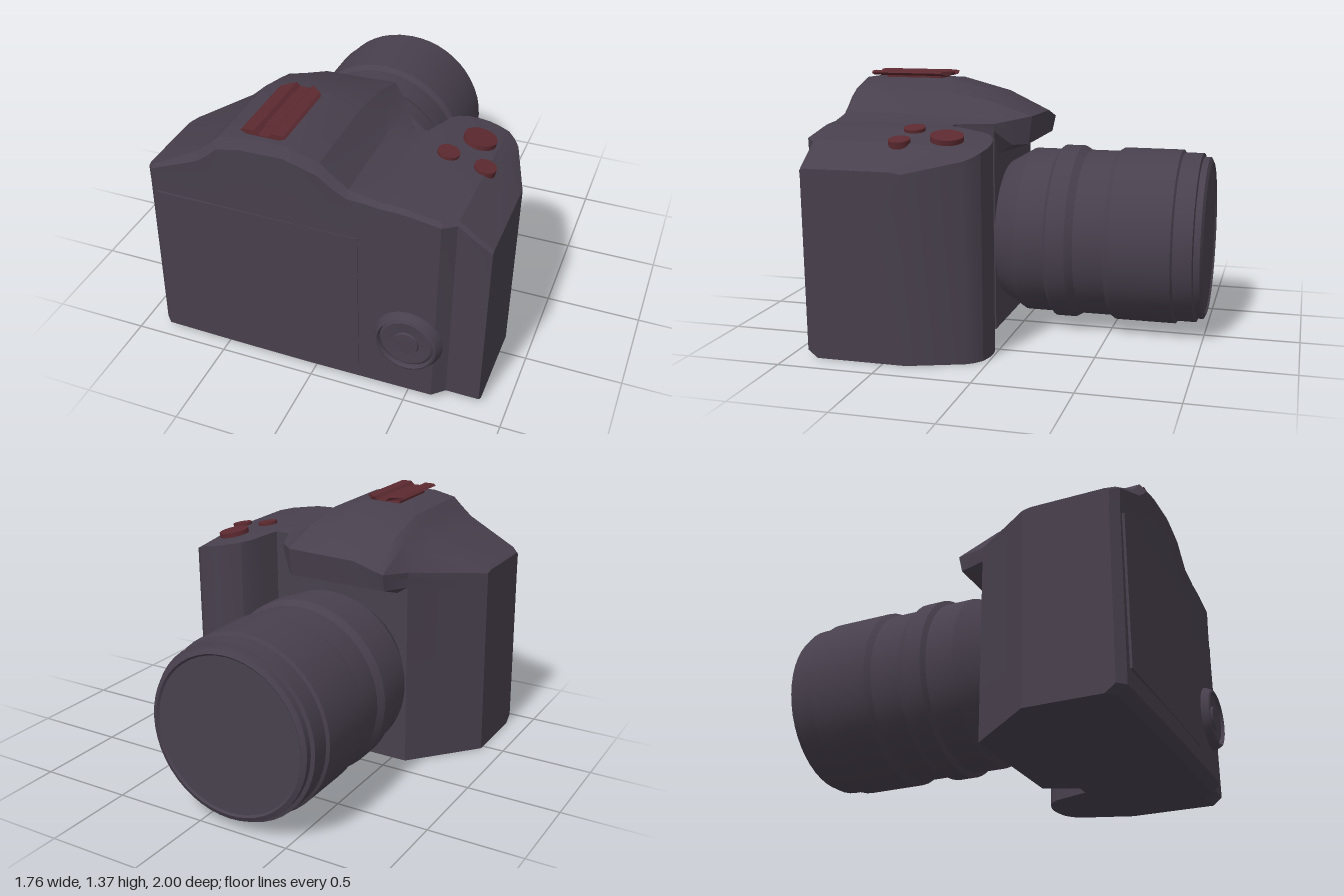
import * as THREE from 'three';
import { toCreasedNormals } from 'three/addons/utils/BufferGeometryUtils.js';

const dark = new THREE.MeshStandardMaterial({ color: 0x48404d });
const red = new THREE.MeshStandardMaterial({ color: 0x5c2a30 });

// Piecewise-linear curve through [x, value] pairs
const curve = (pts) => (x) => {
  let i = 1;
  while (i < pts.length - 1 && x > pts[i][0]) i++;
  const [x0, v0] = pts[i - 1], [x1, v1] = pts[i];
  return v0 + (v1 - v0) * THREE.MathUtils.clamp((x - x0) / (x1 - x0), 0, 1);
};
const { lerp } = THREE.MathUtils;

function mesh(name, geometry, material, crease = 0.4) {
  const m = new THREE.Mesh(toCreasedNormals(geometry, crease), material);
  m.name = name;
  return m;
}

// Body outlines as functions of x
const topY = curve([[-0.86, 1.04], [-0.55, 1.21], [-0.45, 1.305], [-0.33, 1.33], [-0.11, 1.335],
  [0.06, 1.285], [0.19, 1.175], [0.35, 1.14], [0.47, 1.135], [0.71, 1.09], [0.88, 0.97]]);
const backZ = curve([[-0.86, 0.91], [-0.82, 0.95], [-0.4, 0.957], [0, 0.96], [0.65, 0.955], [0.71, 0.9], [0.88, 0.9]]);
const frontZ = curve([[-0.86, 0.47], [-0.56, 0.11], [-0.5, -0.06], [0.06, -0.06], [0.2, 0.11], [0.28, 0.29],
  [0.36, 0.29], [0.42, 0.1], [0.45, 0.06], [0.5, 0.03], [0.55, 0.015], [0.6, 0.01], [0.66, 0.015],
  [0.71, 0.03], [0.75, 0.06], [0.78, 0.1], [0.88, 0.38]]);
const frontY = curve([[-0.86, 1.03], [-0.56, 1.08], [-0.5, 1.1], [-0.33, 1.15], [0.06, 1.16], [0.2, 1.13],
  [0.36, 1.135], [0.42, 1.115], [0.6, 1.08], [0.71, 1.055], [0.78, 1.02], [0.88, 0.96]]);

// Side section [z, y] at one x: up the back, over the top, down the front
function section(x) {
  const zb = backZ(x), yt = topY(x), zf = frontZ(x), yf = frontY(x);
  const zm = Math.max(0.44, zf + 0.05);
  const overhang = x > -0.56 && x < 0.2;
  const zw = x < 0.28 ? Math.max(zf, 0.11) : zf;
  const bevel = curve([[-0.86, 0.01], [-0.5, 0.05], [0.1, 0.05], [0.3, 0.02], [0.88, 0.01]])(x);
  return [
    [zb - 0.05, 0], [zb, 0.04], [zb, 0.94], [zb + 0.012 * (bevel / 0.05), yt - bevel], [zb - 0.02, yt],
    [zm, yt], [lerp(zf, zm, 0.45), lerp(yf, yt, 0.6)], [zf, yf],
    overhang ? [zf + 0.02, 1.01] : [zf, yf - 0.04],
    [zw, overhang ? 0.96 : yf - 0.08], [zw, 0],
  ];
}

// Body with viewfinder hump and grip, lofted along x
function bodyGeometry() {
  const xs = [-0.86, -0.82, -0.56, -0.5, -0.45, -0.33, -0.11, 0, 0.06, 0.12, 0.2, 0.28, 0.36, 0.39, 0.42,
    0.45, 0.5, 0.55, 0.6, 0.65, 0.71, 0.75, 0.78, 0.88];
  const pos = [], idx = [], n = section(0).length;
  const put = (x, [z, y]) => pos.push(x - 0.02 * (1 - y), y, z); // sides lean slightly
  xs.forEach((x) => section(x).forEach((p) => put(x, p)));
  for (let i = 0; i < xs.length - 1; i++) {
    for (let j = 0; j < n; j++) {
      const k = (j + 1) % n;
      const a = i * n + j, b = a + n, c = i * n + k, d = c + n;
      idx.push(a, b, c, b, d, c);
    }
  }
  // End caps
  const last = (xs.length - 1) * n, hub = xs.length * n;
  put(xs[0], [0.7, 0.5]);
  put(xs[xs.length - 1], [0.65, 0.5]);
  for (let j = 0; j < n; j++) {
    const k = (j + 1) % n;
    idx.push(hub, j, k, hub + 1, last + k, last + j);
  }
  const g = new THREE.BufferGeometry();
  g.setAttribute('position', new THREE.Float32BufferAttribute(pos, 3));
  g.setIndex(idx);
  return g;
}

// Turned part from [radius, height] points
const turned = (pts, sides) => new THREE.LatheGeometry(pts.map(([r, h]) => new THREE.Vector2(r, h)), sides);

function shoe() {
  const g = new THREE.Group();
  g.name = 'accessoryShoe';
  // Rail profile with a central groove
  const half = [[0.025, 1.352], [0.045, 1.37], [0.1, 1.37], [0.113, 1.36], [0.1, 1.353], [0.08, 1.345]];
  const pts = [...half, ...half.map(([x, y]) => [-x, y]).reverse()];
  const shape = new THREE.Shape(pts.map(([x, y]) => new THREE.Vector2(x, y)));
  const geo = new THREE.ExtrudeGeometry(shape, { depth: 0.47, bevelEnabled: false });
  const p = geo.attributes.position;
  for (let i = 0; i < p.count; i++) { // taper the forward end
    if (p.getZ(i) < 0.01) p.setZ(i, Math.max(0, Math.abs(p.getX(i)) - 0.05));
  }
  geo.translate(-0.22, 0, 0.45);
  g.add(mesh('shoeRails', geo, red));
  const base = mesh('shoeBase', new THREE.BoxGeometry(0.16, 0.035, 0.32), red);
  base.position.set(-0.22, 1.338, 0.68);
  g.add(base);
  return g;
}

export function createModel() {
  const model = new THREE.Group();
  model.name = 'camera';
  model.add(mesh('body', bodyGeometry(), dark, 0.35));

  // Lens barrel with rings
  const lens = mesh('lens', turned([[0.37, 0], [0.38, 0.01], [0.455, 0.14], [0.455, 0.29], [0.478, 0.31],
    [0.478, 0.41], [0.455, 0.45], [0.455, 0.61], [0.475, 0.64], [0.475, 0.96], [0.46, 0.97], [0.46, 1.07],
    [0.44, 1.075], [0.44, 1.108], [0.415, 1.12], [0.405, 1.11], [0, 1.11]], 48).rotateX(-Math.PI / 2), dark);
  lens.position.set(-0.17, 0.497, 0.12);
  model.add(lens);

  // Rear display
  const screen = mesh('screen', new THREE.BoxGeometry(1.05, 0.79, 0.02), dark);
  screen.position.set(-0.275, 0.525, 0.953);
  model.add(screen);

  // Rear control dial
  const dial = mesh('controlDial', turned([[0.175, 0], [0.17, 0.015], [0.155, 0.045], [0.145, 0.05], [0.138, 0.035],
    [0.138, 0.025], [0.125, 0.035], [0.065, 0.03], [0.06, 0.04], [0, 0.042]], 40).rotateX(Math.PI / 2), dark);
  dial.position.set(0.505, 0.37, 0.95);
  model.add(dial);

  model.add(shoe());

  // Grip buttons
  for (const [name, x, y, z, r] of [['shutterButton', 0.615, 1.105, 0.23, 0.084],
    ['rearButton', 0.515, 1.125, 0.435, 0.055], ['sideButton', 0.703, 1.09, 0.447, 0.055]]) {
    const button = mesh(name, new THREE.CylinderGeometry(r, r, 0.035, 28), red);
    button.position.set(x, y, z);
    button.rotation.set(r > 0.06 ? -0.08 : 0, 0, -0.19);
    model.add(button);
  }
  return model;
}
